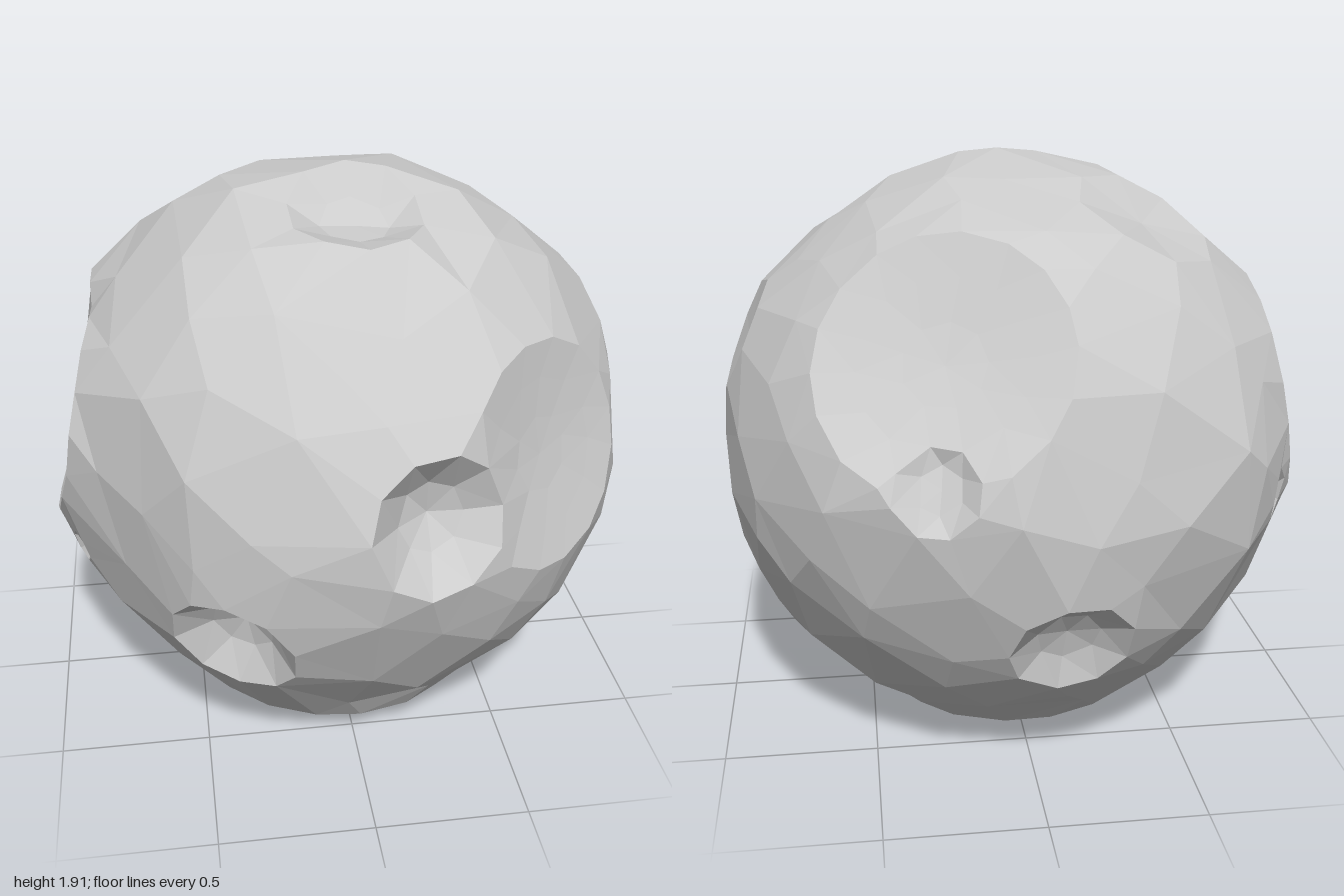
import * as THREE from 'three';
import { ConvexGeometry } from 'three/addons/geometries/ConvexGeometry.js';

const CENTRE = new THREE.Vector3(0, 0.93, 0);
const RADIUS = 0.972;

const direction = p => new THREE.Vector3(...p).sub(CENTRE).normalize();

// Craters, small ones first: position, angular radius, depth, ring sides, rim lift
const CRATERS = [
  [[-0.84, 1.40, 0.10], 0.06, 0.04, 6, 0],
  [[-0.83, 0.84, -0.50], 0.09, 0.05, 7, 0],
  [[-0.90, 0.66, 0.27], 0.06, 0.04, 6, 0],
  [[0.30, 1.05, -0.90], 0.14, 0.06, 8, 0],
  [[0.18, 1.04, 0.92], 0.23, 0.15, 10, 0.01],    // deep front bowl
  [[-0.43, 0.57, 0.78], 0.22, 0.13, 10, 0.01],   // low front bowl
  [[0.02, 1.83, 0.31], 0.23, 0.11, 10, 0],       // top bowl
  [[0.84, 0.47, -0.11], 0.20, 0.08, 9, 0],       // low side bowl
  [[-0.10, 0.52, -0.87], 0.20, 0.08, 9, 0.01],   // low back bowl
  [[0.88, 1.32, -0.03], 0.21, 0.035, 8, 0.005],  // flat side pan
  [[-0.42, 1.72, -0.28], 0.26, 0.045, 8, 0.005], // flat top pan
  [[0.57, 1.13, 0.71], 0.38, 0.10, 16, 0],       // shallow front dent
  [[0.29, 1.42, -0.78], 0.42, 0.12, 18, 0],      // large back basin
  [[-0.94, 1.11, -0.04], 0.43, 0.17, 18, 0.02],  // large side basin
  [[-0.05, -0.02, 0.09], 0.49, 0.15, 18, 0.045], // large bottom basin
].map(([p, r, depth, sides, rim]) => ({ dir: direction(p), r, depth, sides, rim }));

// Broad swellings and hollows of the body: position, lift, angular radius
const SWELLINGS = [
  [[-0.66, 0.90, -0.77], 0.035, 0.35],
  [[0.57, 0.92, -0.85], 0.025, 0.3],
  [[-0.90, 0.50, 0.00], 0.02, 0.35],
  [[0.00, 0.88, 1.00], 0.03, 0.3],
  [[0.00, 0.88, -1.00], 0.03, 0.3],
  [[-0.72, 0.90, 0.57], -0.04, 0.35],
  [[-0.33, 0.95, -0.90], -0.02, 0.3],
  [[0.95, 0.95, 0.00], -0.015, 0.35],
  [[0.00, 1.81, -0.27], -0.06, 0.33],
  [[-0.42, 1.72, -0.28], -0.015, 0.4],
  [[0.00, 1.52, 0.70], -0.045, 0.33],
  [[0.52, 1.70, -0.12], -0.035, 0.4],
  [[0.25, 1.80, 0.30], -0.045, 0.2],
  [[-0.22, 1.82, 0.30], -0.045, 0.2],
].map(([p, lift, r]) => ({ dir: direction(p), lift, r }));

// Seeded random numbers
function makeRandom(seed) {
  return () => {
    seed = (seed * 16807) % 2147483647;
    return seed / 2147483647;
  };
}

// Directions on concentric rings of one crater, plus its middle
function craterPoints(c, random) {
  const u = new THREE.Vector3(0.31, 0.17, 0.93).cross(c.dir).normalize();
  const v = c.dir.clone().cross(u);
  const points = [c.dir.clone()];
  const rings = c.depth < 0.055 ? [1] : c.r > 0.3 ? [1, 0.7, 0.36] : [1, 0.55];
  rings.forEach((t, k) => {
    const n = Math.ceil(c.sides * (1 - 0.25 * k));
    for (let i = 0; i < n; i++) {
      const a = (i + k * 0.5 + (random() - 0.5) * 0.2) / n * Math.PI * 2;
      const s = Math.sin(c.r * t);
      points.push(c.dir.clone().multiplyScalar(Math.cos(c.r * t))
        .addScaledVector(u, s * Math.cos(a)).addScaledVector(v, s * Math.sin(a)));
    }
  });
  return points;
}

// Distance of the surface from the centre in a given direction
function surfaceRadius(d) {
  let radius = RADIUS + 0.006 * Math.sin(5 * d.x + 3 * d.y + 1) * Math.cos(4 * d.z - 2 * d.y);
  for (const s of SWELLINGS) {
    const t = d.angleTo(s.dir) / s.r;
    if (t < 1) radius += s.lift * (1 - t * t);
  }
  for (const c of CRATERS) {
    const t = d.angleTo(c.dir) / c.r;
    if (t < 1) radius -= c.depth * (1 - t * t);
    radius += c.rim * Math.max(0, 1 - Math.abs(t - 1) / 0.25);
  }
  return radius;
}

function createRockGeometry() {
  const random = makeRandom(77);
  const points = [];

  // Crater rings; a larger crater leaves room for the smaller ones
  CRATERS.forEach((c, i) => {
    for (const p of craterPoints(c, random)) {
      const covered = CRATERS.slice(0, i).some(o => p.angleTo(o.dir) < o.r + 0.03);
      if (!covered) points.push(p);
    }
  });

  // Loose spread of points over the ground between the craters
  const count = 190;
  for (let i = 0; i < count; i++) {
    const y = 1 - 2 * (i + 0.5) / count;
    const a = i * 2.39996;
    const s = Math.sqrt(1 - y * y);
    const p = new THREE.Vector3(s * Math.cos(a), y, s * Math.sin(a));
    p.x += (random() - 0.5) * 0.12;
    p.y += (random() - 0.5) * 0.12;
    p.z += (random() - 0.5) * 0.12;
    p.normalize();
    const inCrater = CRATERS.some(c => p.angleTo(c.dir) < c.r + 0.09);
    const crowded = points.some(q => p.angleTo(q) < 0.12);
    if (!inCrater && !crowded) points.push(p);
  }

  // Triangulate on the sphere, then push each corner in or out
  const geometry = new ConvexGeometry(points);
  const pos = geometry.attributes.position;
  const d = new THREE.Vector3();
  for (let i = 0; i < pos.count; i++) {
    d.fromBufferAttribute(pos, i).normalize();
    d.multiplyScalar(surfaceRadius(d));
    pos.setXYZ(i, d.x, d.y, d.z);
  }

  // Stand it on the ground, centred
  geometry.computeBoundingBox();
  const mid = geometry.boundingBox.getCenter(new THREE.Vector3());
  geometry.translate(-mid.x, -geometry.boundingBox.min.y, -mid.z);
  geometry.computeVertexNormals();
  return geometry;
}

export function createModel() {
  const model = new THREE.Group();
  model.name = 'asteroid';
  const material = new THREE.MeshStandardMaterial({ color: 0xcccccc, flatShading: true });
  const rock = new THREE.Mesh(createRockGeometry(), material);
  rock.name = 'crateredRock';
  model.add(rock);
  return model;
}
